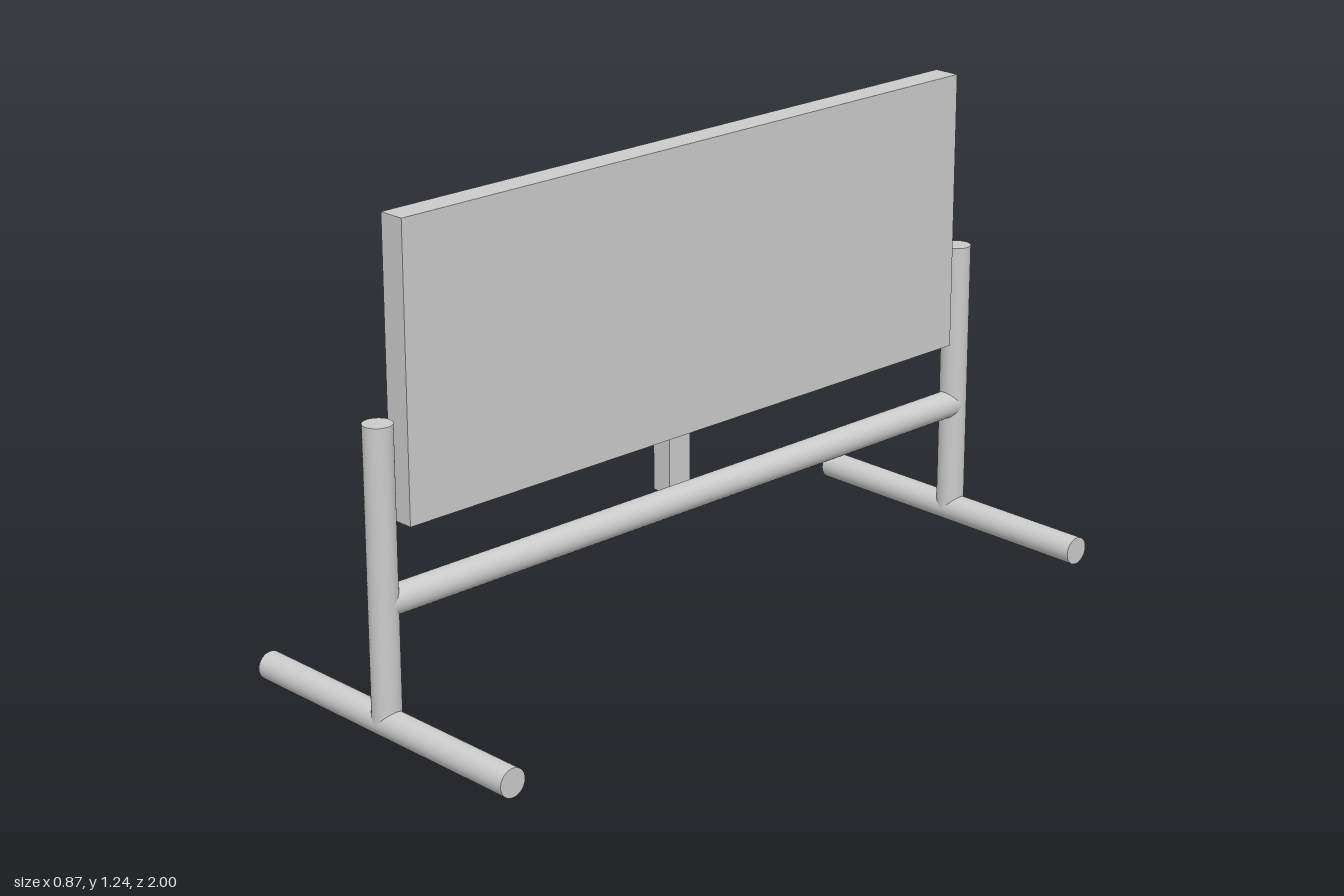
import * as THREE from 'three';

const material = new THREE.MeshStandardMaterial({ color: 0xcccccc });
const R = 0.036;       // tube radius
const END_Z = 0.964;   // tube centre of the end frames

function add(parent, name, geometry, x, y, z) {
  const mesh = new THREE.Mesh(geometry, material);
  mesh.name = name;
  mesh.position.set(x, y, z);
  parent.add(mesh);
  return mesh;
}

const tube = (length) => new THREE.CylinderGeometry(R, R, length, 32);

export function createModel() {
  const model = new THREE.Group();
  model.name = 'boardOnStand';

  // End frames: a horizontal foot with an upright post
  for (const side of [1, -1]) {
    const frame = new THREE.Group();
    frame.name = side > 0 ? 'frontFrame' : 'backFrame';
    frame.position.z = side * END_Z;
    add(frame, 'foot', tube(0.874), 0, R, 0).rotation.z = Math.PI / 2;
    add(frame, 'post', tube(0.765 - R), 0, (0.765 + R) / 2, 0);
    model.add(frame);
  }

  // Crossbar joining the posts
  add(model, 'crossbar', tube(2 * END_Z), 0, 0.331, 0).rotation.x = Math.PI / 2;

  // Panel, and the bracket that holds it to the crossbar
  add(model, 'panel', new THREE.BoxGeometry(0.07, 0.725, 1.814), 0, 0.873, 0);
  add(model, 'bracket', new THREE.BoxGeometry(0.056, 0.363, 0.07), -0.063, 0.512, 0);

  return model;
}
